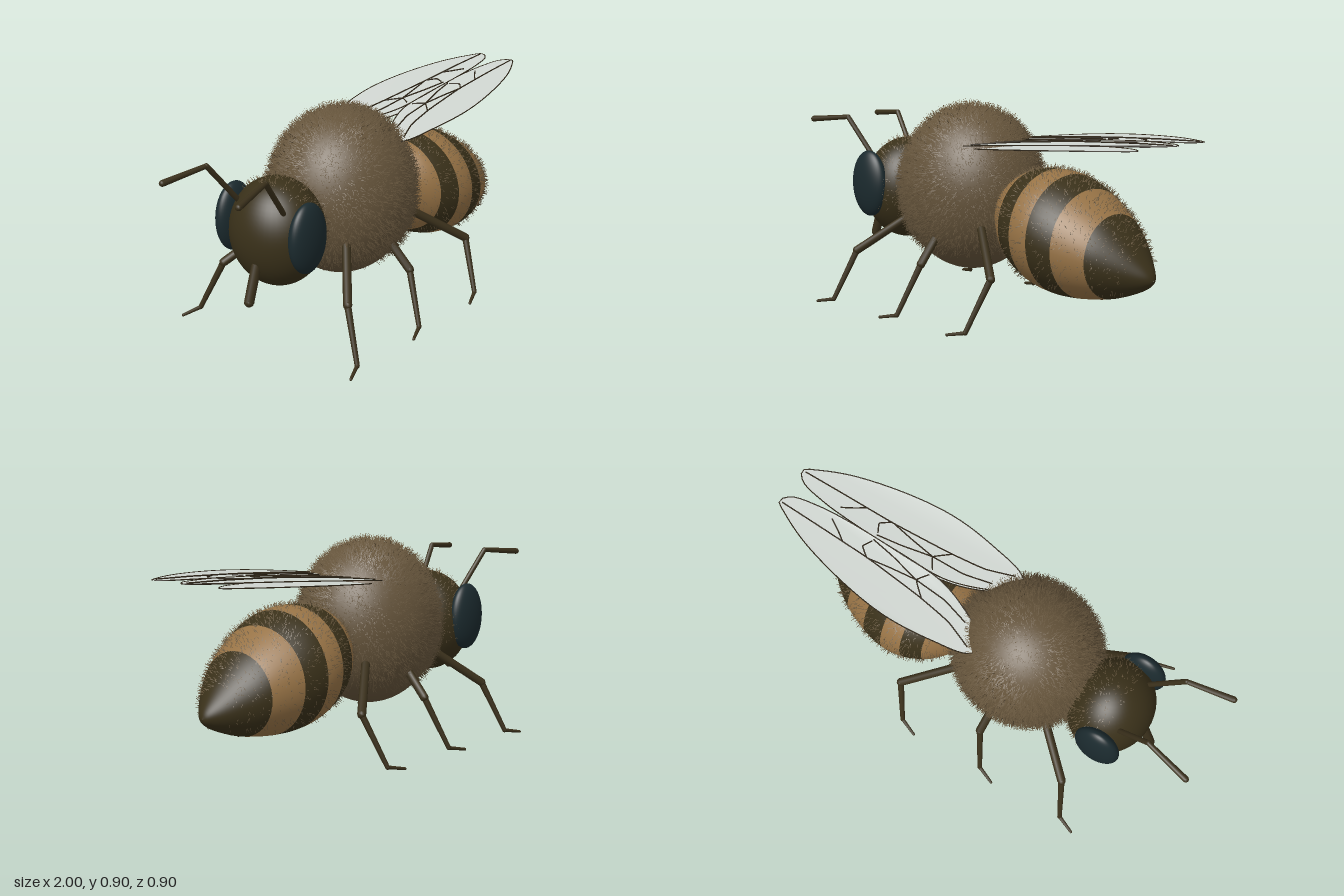
import * as THREE from 'three';

const V = (x, y, z) => new THREE.Vector3(x, y, z);
function paint(name, color, side = THREE.FrontSide) {
  const m = new THREE.MeshStandardMaterial({ color, side });
  m.name = name;
  return m;
}

export function createModel() {
  const bee = new THREE.Group();
  bee.name = 'bee';
  const tan = paint('tan', 0x967245);
  const dark = paint('darkBrown', 0x393019);
  const brown = paint('brown', 0x64533a);
  const furBrown = paint('furBrown', 0x67563d);
  const eyeBlue = paint('eyeBlue', 0x1b2a2e);
  const limbBrown = paint('limbBrown', 0x3a301b);
  const wingGrey = paint('wingGrey', 0xd0d6d1, THREE.DoubleSide);
  const veinBrown = paint('veinBrown', 0x2e2517);

  let seed = 7;
  const rnd = () => {
    seed = (seed * 16807) % 2147483647;
    return seed / 2147483647;
  };
  const add = (name, geometry, material, parent = bee) => {
    const mesh = new THREE.Mesh(geometry, material);
    mesh.name = name;
    parent.add(mesh);
    return mesh;
  };
  const ellipsoid = (c, r) =>
    new THREE.SphereGeometry(1, 48, 32).scale(r[0], r[1], r[2]).translate(c[0], c[1], c[2]);

  // Tapered segments joined by round knuckles
  function limb(name, pts, radii) {
    const g = new THREE.Group();
    g.name = name;
    for (let i = 0; i < pts.length - 1; i++) {
      const a = pts[i], b = pts[i + 1], [r0, r1] = radii[i];
      const d = b.clone().sub(a);
      const seg = add(name + 'Segment', new THREE.CylinderGeometry(r1, r0, d.length(), 10), limbBrown, g);
      seg.position.copy(a).addScaledVector(d, 0.5);
      seg.quaternion.setFromUnitVectors(V(0, 1, 0), d.normalize());
      add(name + 'Joint', new THREE.SphereGeometry(r1, 10, 8), limbBrown, g).position.copy(b);
    }
    bee.add(g);
  }

  // Fine spikes scattered evenly over a surface, shaded softly like the skin below them
  function fur(name, geo, count, len, material, accept) {
    const P = geo.attributes.position, N = geo.attributes.normal, I = geo.index;
    const tri = (t) => [0, 1, 2].map((k) => I.getX(t * 3 + k));
    const get = (A, i) => new THREE.Vector3().fromBufferAttribute(A, i);
    const n = I.count / 3, areas = [];
    let maxArea = 0;
    for (let t = 0; t < n; t++) {
      const [a, b, c] = tri(t).map((i) => get(P, i));
      areas.push(new THREE.Triangle(a, b, c).getArea());
      maxArea = Math.max(maxArea, areas[t]);
    }
    const out = [], normals = [];
    for (let made = 0, tries = 0; made < count && tries < count * 30; tries++) {
      const t = Math.floor(rnd() * n);
      if (rnd() * maxArea > areas[t]) continue;
      let u = rnd(), v = rnd();
      if (u + v > 1) { u = 1 - u; v = 1 - v; }
      const w = [1 - u - v, u, v], p = V(0, 0, 0), nor = V(0, 0, 0);
      tri(t).forEach((i, k) => {
        p.addScaledVector(get(P, i), w[k]);
        nor.addScaledVector(get(N, i), w[k]);
      });
      nor.normalize();
      if (!accept(p, nor)) continue;
      const dir = nor.clone().add(V(rnd() - 0.5, rnd() - 0.5, rnd() - 0.5).multiplyScalar(0.9)).normalize();
      const s = V(0.3, 0.5, 0.8).cross(dir).normalize(), q = dir.clone().cross(s);
      const tip = p.clone().addScaledVector(dir, len * (0.6 + 0.6 * rnd()));
      const side = [0, 1, 2].map((k) => s.clone().multiplyScalar(Math.cos(k * 2.094))
        .addScaledVector(q, Math.sin(k * 2.094)));
      const base = side.map((d) => p.clone().addScaledVector(d, 0.0017));
      for (let k = 0; k < 3; k++) {
        const m = (k + 1) % 3;
        const shade = side[k].clone().add(side[m]).multiplyScalar(0.35).add(nor).normalize();
        for (const c of [base[k], base[m], tip]) {
          out.push(c.x, c.y, c.z);
          normals.push(shade.x, shade.y, shade.z);
        }
      }
      made++;
    }
    const g = new THREE.BufferGeometry();
    g.setAttribute('position', new THREE.Float32BufferAttribute(out, 3));
    g.setAttribute('normal', new THREE.Float32BufferAttribute(normals, 3));
    add(name, g, material);
  }

  // Thorax and head
  const thorax = ellipsoid([-0.158, 0.517, 0], [0.312, 0.347, 0.293]);
  add('thorax', thorax, brown);
  fur('thoraxFur', thorax, 10000, 0.032, furBrown, (p, n) => n.y > -0.72 + 0.25 * rnd());
  const head = ellipsoid([-0.565, 0.475, 0], [0.18, 0.222, 0.2]);
  add('head', head, dark);
  fur('headFur', head, 600, 0.022, furBrown, (p, n) => p.x > -0.62 && n.y > -0.3);

  // Abdomen: [x, top, bottom] of each elliptical section, with bands between sections
  const sections = [
    [0.04, 0.46, 0.41], [0.1, 0.555, 0.34], [0.16, 0.605, 0.275], [0.225, 0.635, 0.215],
    [0.315, 0.645, 0.168], [0.41, 0.633, 0.146], [0.515, 0.585, 0.145], [0.64, 0.5, 0.163],
    [0.72, 0.422, 0.188], [0.785, 0.345, 0.216], [0.823, 0.295, 0.242], [0.835, 0.264, 0.262],
  ];
  const bands = [0, 0, 0, 1, 0, 1, 0, 1, 1, 1, 1];
  const spine = new THREE.CatmullRomCurve3(
    sections.map(([x, t, b]) => V(x, (t + b) / 2, (t - b) / 2)), false, 'catmullrom', 0.5);
  const sub = 4, around = 48, rings = bands.length * sub;
  const pos = [], idx = [];
  for (let i = 0; i <= rings; i++) {
    const c = spine.getPoint(i / rings);
    for (let j = 0; j < around; j++) {
      const a = (j / around) * Math.PI * 2;
      pos.push(c.x, c.y + c.z * Math.cos(a), c.z * 1.1 * Math.sin(a));
    }
  }
  const abdomen = new THREE.BufferGeometry();
  for (let i = 0; i < rings; i++) {
    for (let j = 0; j < around; j++) {
      const k = (j + 1) % around;
      const a = i * around + j, b = i * around + k, c = a + around, d = b + around;
      idx.push(a, b, c, b, d, c);
    }
  }
  bands.forEach((m, s) => abdomen.addGroup(s * sub * around * 6, sub * around * 6, m));
  abdomen.setAttribute('position', new THREE.Float32BufferAttribute(pos, 3));
  abdomen.setIndex(idx);
  abdomen.computeVertexNormals();
  add('abdomen', abdomen, [tan, dark]);
  fur('abdomenFur', abdomen, 2000, 0.022, furBrown,
    (p, n) => p.x > 0.08 && p.x < 0.77 && n.y > -0.8 && rnd() < 0.6 + 0.4 * n.y);

  // Proboscis
  limb('proboscis', [V(-0.715, 0.39, 0.02), V(-0.765, 0.245, 0.02)], [[0.02, 0.02]]);

  // Wing heights rise towards the tips
  const foreY = (x) => 0.728 + 0.13 * x - 0.05 * x * x;
  const hindY = (x) => 0.712 + 0.1 * x - 0.03 * x * x;
  const foreOutline = [[-0.04, 0.14], [0, 0.2], [0.15, 0.237], [0.35, 0.257], [0.55, 0.238], [0.8, 0.178],
    [0.94, 0.118], [0.995, 0.082], [0.965, 0.042], [0.85, 0.014], [0.7, 0.002], [0.45, 0.001], [0.25, 0.008], [0.08, 0.07]];
  const hindOutline = [[-0.03, 0.13], [0.05, 0.175], [0.2, 0.2], [0.45, 0.2], [0.7, 0.15], [0.82, 0.095],
    [0.77, 0.05], [0.6, 0.005], [0.4, -0.012], [0.2, 0.02], [0.06, 0.08]];
  const veins = [
    [[0.02, 0.18], [0.14, 0.135], [0.3, 0.112], [0.55, 0.092], [0.8, 0.086], [0.98, 0.082]],
    [[0.08, 0.1], [0.2, 0.068], [0.34, 0.06], [0.47, 0.03], [0.58, 0.012]],
    [[0.28, 0.115], [0.34, 0.06], [0.31, 0.012]],
    [[0.34, 0.06], [0.45, 0.075], [0.55, 0.092]],
    [[0.56, 0.092], [0.6, 0.06], [0.58, 0.02]],
    [[0.68, 0.088], [0.72, 0.06], [0.77, 0.03]],
  ];
  function wing(name, outline, height, s) {
    const edge = new THREE.CatmullRomCurve3(outline.map(([x, z]) => V(x, height(x), s * z)), true);
    const shape = new THREE.Shape(edge.getPoints(90).slice(0, 90).map((p) => new THREE.Vector2(p.x, -p.z)));
    const g = new THREE.ShapeGeometry(shape).rotateX(-Math.PI / 2);
    const P = g.attributes.position;
    for (let i = 0; i < P.count; i++) P.setY(i, height(P.getX(i)));
    g.computeVertexNormals();
    add(name, g, wingGrey);
    add(name + 'Edge', new THREE.TubeGeometry(edge, 90, 0.0025, 5, true), veinBrown);
  }

  // Paired parts
  for (const s of [1, -1]) {
    const side = s > 0 ? 'left' : 'right';
    add(side + 'Eye', ellipsoid([-0.607, 0.505, s * 0.187], [0.1, 0.145, 0.048]), eyeBlue);
    limb(side + 'Antenna',
      [V(-0.64, 0.58, s * 0.11), V(-0.795, 0.78, s * 0.148), V(-0.988, 0.76, s * 0.19)],
      [[0.011, 0.011], [0.01, 0.013]]);

    // Legs: hip, knee and ankle, with the foot pointing forward
    const legs = { Front: [-0.36, -0.537, -0.592], Middle: [-0.14, -0.128, -0.182], Rear: [0.08, 0.278, 0.224] };
    for (const [name, [hip, knee, ankle]] of Object.entries(legs))
      limb(side + name + 'Leg',
        [V(hip, 0.39, s * 0.18), V(knee, 0.235, s * 0.325), V(ankle, 0.024, s * 0.414), V(ankle - 0.076, 0.008, s * 0.442)],
        [[0.018, 0.018], [0.014, 0.01], [0.008, 0.006]]);

    wing(side + 'ForeWing', foreOutline, foreY, s);
    wing(side + 'HindWing', hindOutline, hindY, s);
    for (const v of veins) {
      const path = new THREE.CatmullRomCurve3(
        v.map(([x, z]) => V(x, foreY(x) + 0.002, s * z)), false, 'catmullrom', 0.15);
      add(side + 'WingVein', new THREE.TubeGeometry(path, 24, 0.003, 5), veinBrown);
    }
  }
  return bee;
}
